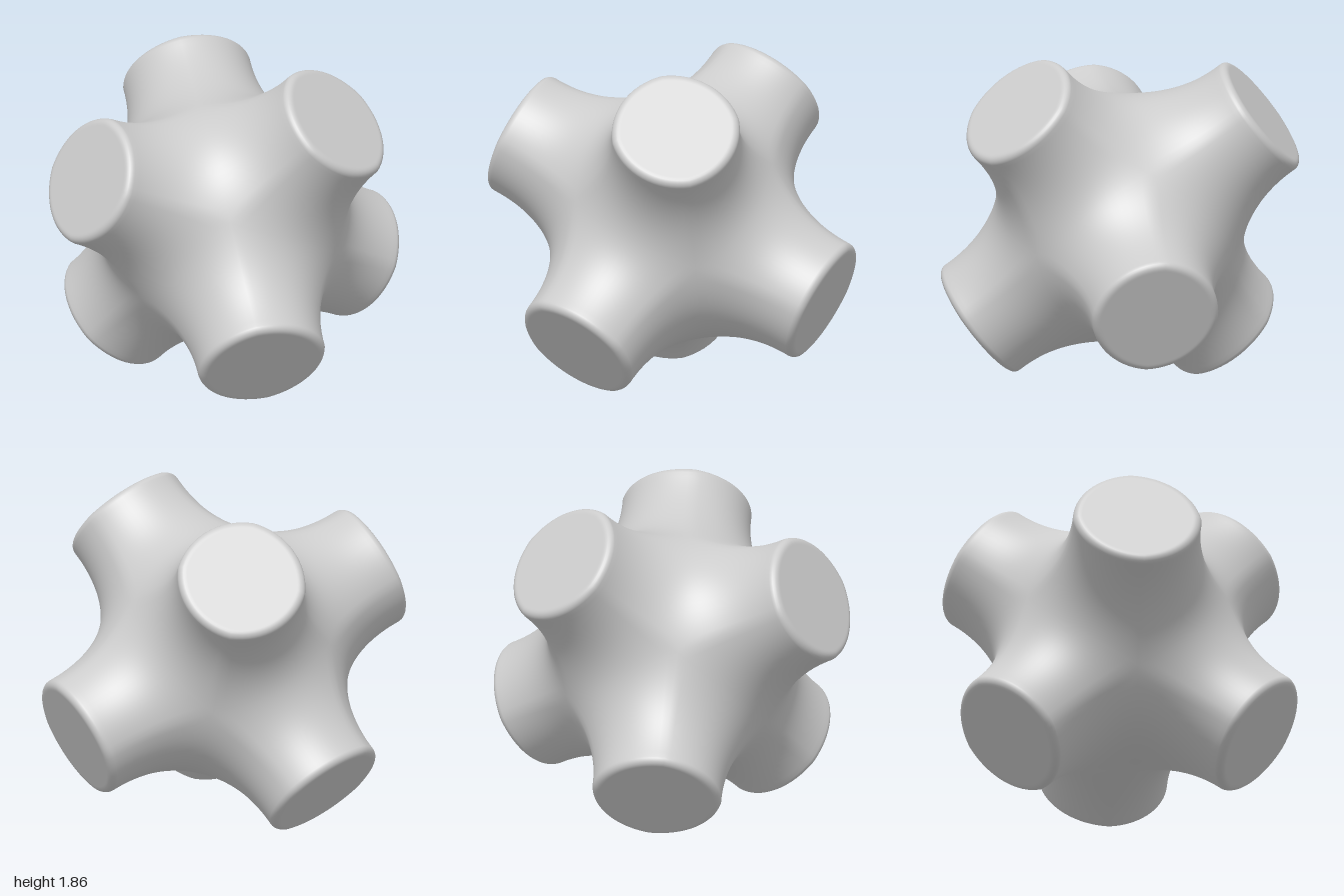
import * as THREE from 'three';
import { mergeGeometries, mergeVertices } from 'three/addons/utils/BufferGeometryUtils.js';

const CAP = 1.0;      // distance of each flat arm end from the centre
const BEVEL = 0.04;   // rounding of the arm ends
const EDGE = 0.495;   // seam between two arms, at its middle
const CORNER = 0.395; // seam where three arms meet
const COLS = 16;      // columns per quarter of an arm
const SIDE = 24;      // rows along the arm's side

// One column of the arm along +z, from the cap centre out and down to the seam.
// v runs from -1 to 1 across a quarter of the arm.
function column(v) {
  const angle = v * Math.PI / 4;
  const r = 0.349 + 0.01 * v * v;
  const at = (radius, z) => new THREE.Vector3(radius * Math.cos(angle), radius * Math.sin(angle), z);
  const points = [0, 0.5, 0.97].map((f) => at((r - BEVEL) * f, CAP));

  // rounded rim
  for (let i = 0; i <= 6; i++) {
    const a = (i / 6) * Math.PI / 2;
    points.push(at(r - BEVEL + BEVEL * Math.sin(a), CAP - BEVEL + BEVEL * Math.cos(a)));
  }

  // side flaring into the seam, where it meets the neighbouring arm smoothly
  const s = EDGE - (EDGE - CORNER) * v * v;
  const seam = new THREE.Vector3(s, CORNER * v, s);
  const lead = seam.clone().addScaledVector(new THREE.Vector3(-1, -v, 1 + v * v), 0.08);
  const side = new THREE.CubicBezierCurve3(at(r, CAP - BEVEL), at(r - 0.006, 0.72), lead, seam);
  return points.concat(side.getPoints(SIDE).slice(1));
}

// A full arm: four turned copies of the quarter
function armGeometry() {
  const columns = [];
  for (let q = 0; q < 4; q++) {
    for (let i = 0; i < COLS; i++) {
      const points = column((i / COLS) * 2 - 1);
      points.forEach((p) => p.applyAxisAngle(new THREE.Vector3(0, 0, 1), q * Math.PI / 2));
      columns.push(points);
    }
  }
  const rows = columns[0].length;
  const index = [];
  columns.forEach((_, i) => {
    const a = i * rows;
    const b = ((i + 1) % columns.length) * rows;
    for (let j = 0; j < rows - 1; j++) {
      index.push(a + j, a + j + 1, b + j + 1);
      if (j > 0) index.push(a + j, b + j + 1, b + j);
    }
  });
  const geometry = new THREE.BufferGeometry().setFromPoints(columns.flat());
  geometry.setIndex(index);
  return geometry;
}

export function createModel() {
  // six arms along the axes, welded into one smooth skin
  const arm = armGeometry();
  const turns = [[0, 0], [Math.PI, 0], [Math.PI / 2, 0], [-Math.PI / 2, 0], [0, Math.PI / 2], [0, -Math.PI / 2]];
  const arms = turns.map(([x, y]) => arm.clone().rotateX(x).rotateY(y));
  const geometry = mergeVertices(mergeGeometries(arms), 1e-4);
  geometry.computeVertexNormals();

  const body = new THREE.Mesh(geometry, new THREE.MeshStandardMaterial({ color: 0xcccccc }));
  body.name = 'sixArmedJunction';

  // tilt so that the arms point along three slanted axes
  const a = new THREE.Vector3(0.72, 0.69, 0.085).normalize();
  const c = a.clone().cross(new THREE.Vector3(-0.48, 0.4, 0.79)).normalize();
  const b = c.clone().cross(a);
  body.quaternion.setFromRotationMatrix(new THREE.Matrix4().makeBasis(a, b, c));
  body.position.y = 0.945;

  const model = new THREE.Group();
  model.name = 'junction';
  model.add(body);
  return model;
}
